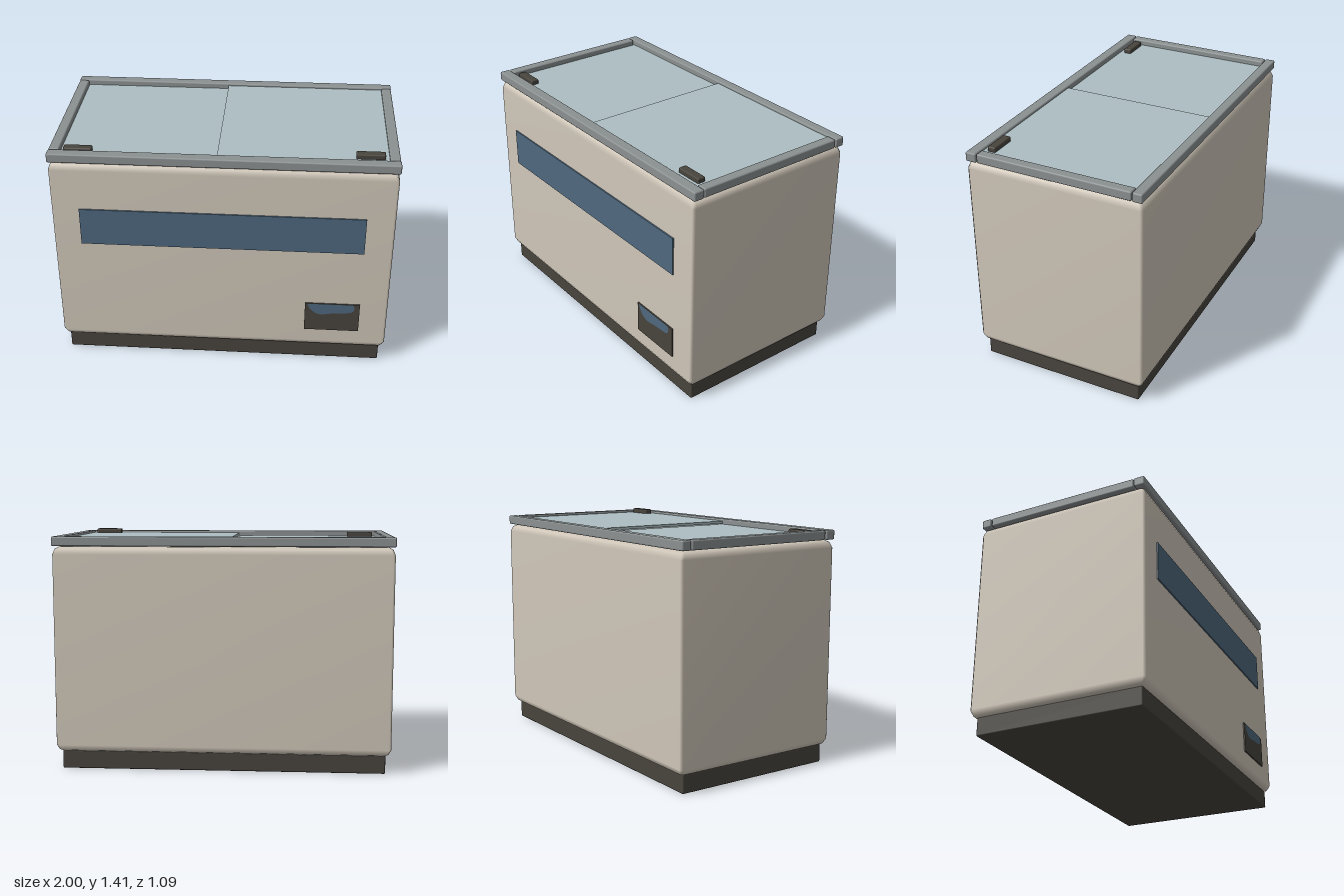
import * as THREE from 'three';
import { RoundedBoxGeometry } from 'three/addons/geometries/RoundedBoxGeometry.js';

const material = (name, color) => {
  const m = new THREE.MeshStandardMaterial({ color });
  m.name = name;
  return m;
};

// Soft-edged cabinet lofted from chamfered rectangles: rows are [y, inset]
function cabinetGeometry(halfX, halfZ, chamfer, rows) {
  const positions = [], indices = [], n = 8;
  for (const [y, inset] of rows) {
    const a = halfX - inset, b = halfZ - inset, c = chamfer;
    const ring = [[a, b - c], [a - c, b], [c - a, b], [-a, b - c],
      [-a, c - b], [c - a, -b], [a - c, -b], [a, c - b]];
    for (const [x, z] of ring) positions.push(x, y, z);
  }
  for (let r = 0; r < rows.length - 1; r++) {
    for (let i = 0; i < n; i++) {
      const a = r * n + i, b = r * n + (i + 1) % n;
      indices.push(a, a + n, b, b, a + n, b + n);
    }
  }
  const top = (rows.length - 1) * n;
  for (let i = 1; i < n - 1; i++) {
    indices.push(0, i, i + 1);
    indices.push(top, top + i + 1, top + i);
  }
  const g = new THREE.BufferGeometry();
  g.setAttribute('position', new THREE.Float32BufferAttribute(positions, 3));
  g.setIndex(indices);
  g.computeVertexNormals();
  return g;
}

export function createModel() {
  const beige = material('beige enamel', 0xd0c7b9);
  const grey = material('grey frame', 0x8b9091);
  const glass = material('pale glass', 0xacbec2);
  const dark = material('dark plastic', 0x48443d);
  const blue = material('blue panel', 0x4f687e);

  const group = new THREE.Group();
  group.name = 'chestFreezer';
  const add = (name, geometry, mat) => {
    const mesh = new THREE.Mesh(geometry, mat);
    mesh.name = name;
    group.add(mesh);
    return mesh;
  };
  // Box given by its limits on each axis, optionally with rounded edges
  const box = (name, mat, [x0, x1], [y0, y1], [z0, z1], radius = 0) => {
    const size = [x1 - x0, y1 - y0, z1 - z0];
    const g = radius ? new RoundedBoxGeometry(...size, 2, radius) : new THREE.BoxGeometry(...size);
    add(name, g, mat).position.set((x0 + x1) / 2, (y0 + y1) / 2, (z0 + z1) / 2);
  };

  // Plinth and cabinet
  box('plinth', dark, [-0.965, 0.965], [0, 0.112], [-0.51, 0.505], 0.008);
  const rows = [[0.108, 0.035], [0.118, 0.015], [0.15, 0], [1.29, 0], [1.322, 0.012], [1.335, 0.035]];
  add('cabinet', cabinetGeometry(0.996, 0.54, 0.014, rows), beige).position.z = -0.005;
  box('drainTab', blue, [0.955, 0.968], [0.103, 0.113], [0.2, 0.285]);

  // Front panels
  box('frontStrip', blue, [-0.835, 0.83], [0.805, 1.04], [0.534, 0.543]);
  box('controlPanel', dark, [0.5, 0.83], [0.24, 0.435], [0.534, 0.543]);
  const patch = new THREE.Shape();
  patch.moveTo(0.515, 0.434);
  patch.splineThru([[0.53, 0.4], [0.56, 0.37], [0.6, 0.358], [0.66, 0.366], [0.72, 0.372],
    [0.775, 0.378], [0.797, 0.4], [0.792, 0.434]].map(([x, y]) => new THREE.Vector2(x, y)));
  patch.closePath();
  add('controlPanelPatch', new THREE.ShapeGeometry(patch), blue).position.z = 0.545;

  // Top frame
  const railY = [1.338, 1.394];
  box('frontRail', grey, [-1, 1], railY, [0.47, 0.535], 0.009);
  box('backRail', grey, [-1, 1], railY, [-0.545, -0.485], 0.009);
  for (const [side, s] of [['left', 1], ['right', -1]]) {
    box(side + 'Rail', grey, s > 0 ? [0.938, 0.998] : [-0.998, -0.938], railY, [-0.48, 0.466], 0.009);
  }
  box('railSeat', grey, [-0.95, 0.95], [1.325, 1.345], [-0.5, 0.49]);

  // Sliding glass lids at two heights, each with a handle
  const lids = [['left', [-0.035, 0.94], 1.38, [0.75, 0.915]],
    ['right', [-0.94, -0.03], 1.36, [-0.92, -0.755]]];
  for (const [side, xs, top, handleX] of lids) {
    box(side + 'Lid', glass, xs, [top - 0.016, top], [-0.488, 0.473]);
    box(side + 'Handle', dark, handleX, [top - 0.004, top + 0.029], [0.395, 0.445], 0.008);
  }
  return group;
}
